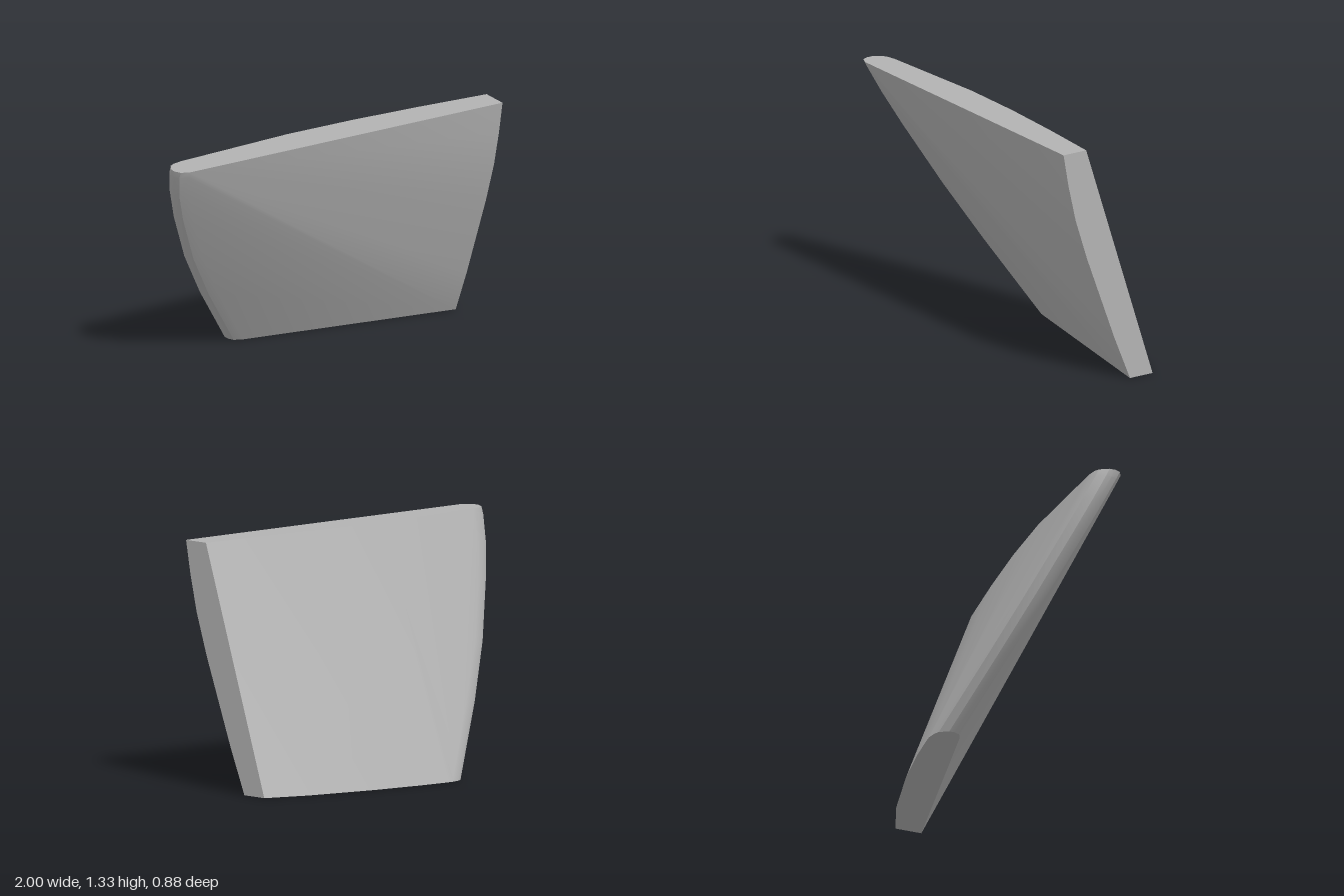
import * as THREE from 'three';
import { ConvexGeometry } from 'three/addons/geometries/ConvexGeometry.js';
import { toCreasedNormals } from 'three/addons/utils/BufferGeometryUtils.js';

const HEIGHT = 1.33;

export function createModel() {
  const grey = new THREE.MeshStandardMaterial({ color: 0xb2b2b2 });
  grey.name = 'grey';
  const points = [];
  const add = (x, y, z) => points.push(new THREE.Vector3(x, y, z));

  // curved rear edges of the bottom and top faces: [x, z]
  const bottomRear = [[1, -0.15], [0.76, -0.25], [0.38, -0.355], [0.1, -0.41], [-0.1, -0.438]];
  const topRear = [[1, 0.29], [0.6, 0.235], [0.2, 0.19], [-0.2, 0.162]];
  bottomRear.forEach(([x, z]) => add(x, 0, z));
  topRear.forEach(([x, z]) => add(x, HEIGHT, z));

  // bowed front edge of the straight end: [y, z]
  [[0, 0], [0.25, 0.105], [0.5, 0.2], [0.72, 0.284], [0.95, 0.36], [1.15, 0.407], [HEIGHT, 0.44]]
    .forEach(([y, z]) => add(1, y, z));

  // rounded leading edge: outermost x at each height
  const edge = [[0, -0.24], [0.11, -0.32], [0.38, -0.52], [0.67, -0.71], [0.98, -0.875], [1.16, -0.955], [1.29, -0.995], [HEIGHT, -1]];
  // nose cross-section: [distance in from the tip, share of thickness from front to rear]
  const nose = [[0.06, 0], [0.015, 0.14], [0, 0.35], [0, 0.55], [0.03, 0.86], [0.06, 0.95], [0.11, 1]];
  for (const [y, x] of edge) {
    const s = y / HEIGHT;
    const front = THREE.MathUtils.lerp(-0.285, 0.322, s);
    const rear = THREE.MathUtils.lerp(-0.44, 0.162, s);
    for (const [inset, t] of nose) add(x + inset, y, THREE.MathUtils.lerp(front, rear, t));
  }

  // solid swept blade, smooth across the faces and sharp at the rims
  const blade = new THREE.Mesh(toCreasedNormals(new ConvexGeometry(points), 0.5), grey);
  blade.name = 'sweptBlade';

  const group = new THREE.Group();
  group.name = 'sweptFin';
  group.add(blade);
  return group;
}
